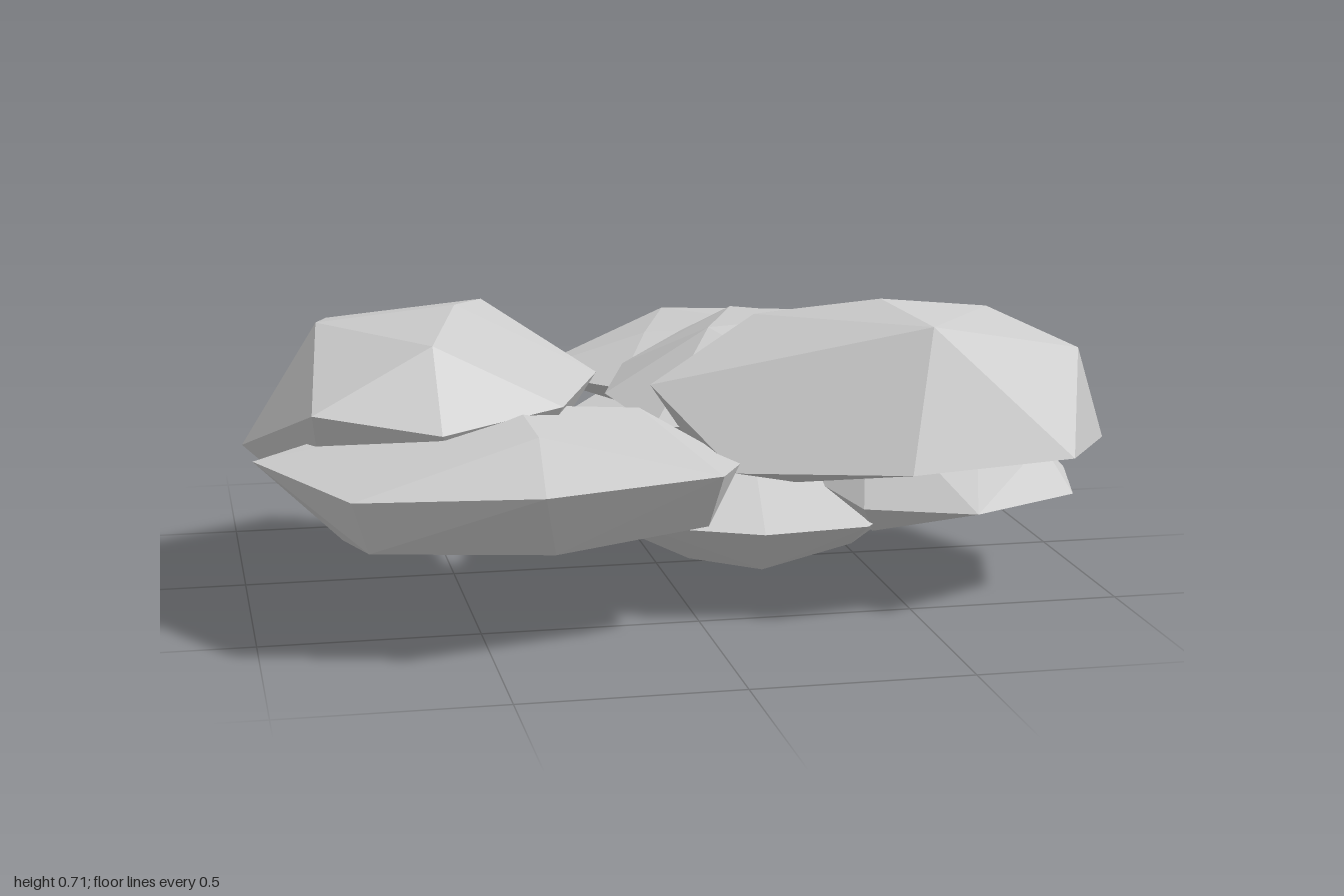
import * as THREE from 'three';
import { ConvexGeometry } from 'three/addons/geometries/ConvexGeometry.js';

// Each stone is the convex hull of a few corners [x, y, z]: top, rim, underside
const stones = {
  leftUpperStone: [
    [-0.82, 0.64, 0.05], [-0.5, 0.68, 0.1], [-0.4, 0.64, -0.19], [-0.78, 0.61, -0.17], [-0.58, 0.63, 0.34],
    [-0.86, 0.4, -0.3], [-0.58, 0.45, -0.43], [-0.3, 0.39, -0.3], [-0.16, 0.5, 0.07],
    [-0.3, 0.5, 0.44], [-0.58, 0.46, 0.51], [-0.86, 0.5, 0.43], [-1, 0.36, 0.07],
    [-0.82, 0.22, 0.22], [-0.64, 0.18, 0.24], [-0.42, 0.22, 0.3], [-0.8, 0.24, -0.1],
    [-0.55, 0.25, -0.26], [-0.32, 0.27, -0.05],
  ],
  frontLeftStone: [
    [-0.4, 0.5, 0.4], [-0.72, 0.45, 0.3], [-0.1, 0.46, 0.3], [-0.38, 0.47, 0.6],
    [-0.99, 0.39, 0.37], [-0.8, 0.37, 0.71], [-0.4, 0.39, 0.83], [0.01, 0.39, 0.71],
    [0.08, 0.38, 0.56], [0.06, 0.36, 0.3], [-0.25, 0.38, 0.06], [-0.76, 0.36, 0.08],
    [-0.8, 0.22, 0.45], [-0.76, 0.24, 0.65], [-0.36, 0.23, 0.7], [0.0, 0.25, 0.6],
    [-0.1, 0.23, 0.3], [-0.5, 0.21, 0.25],
  ],
  frontRightStone: [
    [0.17, 0.67, 0.3], [0.45, 0.71, 0.38], [0.73, 0.67, 0.3], [0.53, 0.67, 0.54],
    [0.91, 0.59, 0.44], [-0.09, 0.53, 0.38], [0.29, 0.66, 0.2], [0.86, 0.58, 0.25],
    [0.07, 0.36, 0.57], [0.45, 0.36, 0.67], [0.86, 0.36, 0.58], [1, 0.36, 0.38],
    [0.87, 0.36, 0.19], [0.25, 0.36, 0.18], [0.02, 0.37, 0.32], [0.25, 0.29, 0.4], [0.62, 0.3, 0.4],
  ],
  rightMiddleStone: [
    [0.88, 0.33, 0.3], [0.8, 0.44, 0.03], [0.5, 0.42, 0.1], [0.87, 0.36, -0.08],
    [0.98, 0.24, 0.18], [0.91, 0.24, 0.44], [0.62, 0.25, 0.62], [0.4, 0.23, 0.45],
    [0.86, 0.25, -0.14], [0.5, 0.25, -0.16], [0.32, 0.25, 0.1],
    [0.8, 0.16, 0.2], [0.45, 0.15, 0.35], [0.55, 0.15, 0.0],
  ],
  backUpperStone: [
    [0.13, 0.53, -0.58], [0.4, 0.55, -0.15], [0.65, 0.52, -0.5], [0.02, 0.53, -0.25], [0.72, 0.53, -0.22],
    [-0.28, 0.43, -0.3], [-0.11, 0.39, -0.64], [0.35, 0.44, -0.79], [0.8, 0.44, -0.64],
    [0.97, 0.44, -0.31], [0.76, 0.44, 0.02], [0.35, 0.44, 0.15], [-0.1, 0.45, 0.03],
    [-0.06, 0.33, -0.52], [0.33, 0.36, -0.7], [0.74, 0.34, -0.55], [0.82, 0.33, -0.25],
    [0.55, 0.32, -0.05], [0.1, 0.32, -0.15],
  ],
  backLowerStone: [
    [0.05, 0.37, -0.55], [0.35, 0.37, -0.7], [0.62, 0.36, -0.5], [0.3, 0.35, -0.25],
    [-0.27, 0.24, -0.38], [-0.08, 0.22, -0.72], [0.31, 0.21, -0.84], [0.7, 0.21, -0.71],
    [0.86, 0.23, -0.38], [0.7, 0.22, -0.12], [0.3, 0.21, -0.06], [-0.13, 0.21, -0.12],
    [0.06, 0.11, -0.52], [0.34, 0.09, -0.56], [0.6, 0.1, -0.45], [0.3, 0.08, -0.25],
  ],
  topCentreStone: [
    [0.2, 0.62, -0.08], [0.1, 0.61, 0.13], [0.42, 0.63, 0.14], [0.27, 0.58, -0.2],
    [-0.15, 0.46, 0.13], [-0.07, 0.49, -0.07], [0.1, 0.54, -0.2], [0.6, 0.53, -0.06],
    [0.75, 0.44, 0.1], [0.74, 0.44, 0.24], [0.45, 0.42, 0.45], [-0.07, 0.42, 0.33],
    [0.1, 0.31, 0.08], [0.5, 0.31, 0.15],
  ],
  baseStone: [
    [-0.05, 0.27, 0.15], [0.2, 0.29, 0.2], [0.42, 0.27, 0.12],
    [-0.26, 0.21, 0.2], [-0.12, 0.2, -0.08], [0.2, 0.2, -0.2], [0.52, 0.17, -0.08],
    [0.6, 0.16, 0.14], [0.42, 0.18, 0.42], [0.15, 0.2, 0.52], [-0.12, 0.21, 0.43],
    [0.05, 0.05, 0.15], [0.2, 0.05, 0.28], [0.28, 0, 0.03], [0.46, 0.06, 0.13],
  ],
  lowerBackStone: [
    [0.3, 0.2, -0.3], [0.55, 0.18, -0.3],
    [0.05, 0.1, -0.25], [0.18, 0.1, -0.47], [0.45, 0.08, -0.54], [0.68, 0.12, -0.42],
    [0.72, 0.14, -0.15], [0.5, 0.1, 0.03], [0.15, 0.1, 0.0],
    [0.35, 0, -0.22], [0.22, 0.03, -0.12], [0.63, 0.05, -0.3], [0.42, 0.05, -0.52],
  ],
};

export function createModel() {
  const model = new THREE.Group();
  model.name = 'rockPile';
  const material = new THREE.MeshStandardMaterial({ color: 0xcccccc, flatShading: true });
  for (const [name, corners] of Object.entries(stones)) {
    const points = corners.map((c) => new THREE.Vector3(...c));
    const mesh = new THREE.Mesh(new ConvexGeometry(points), material);
    mesh.name = name;
    model.add(mesh);
  }
  return model;
}
